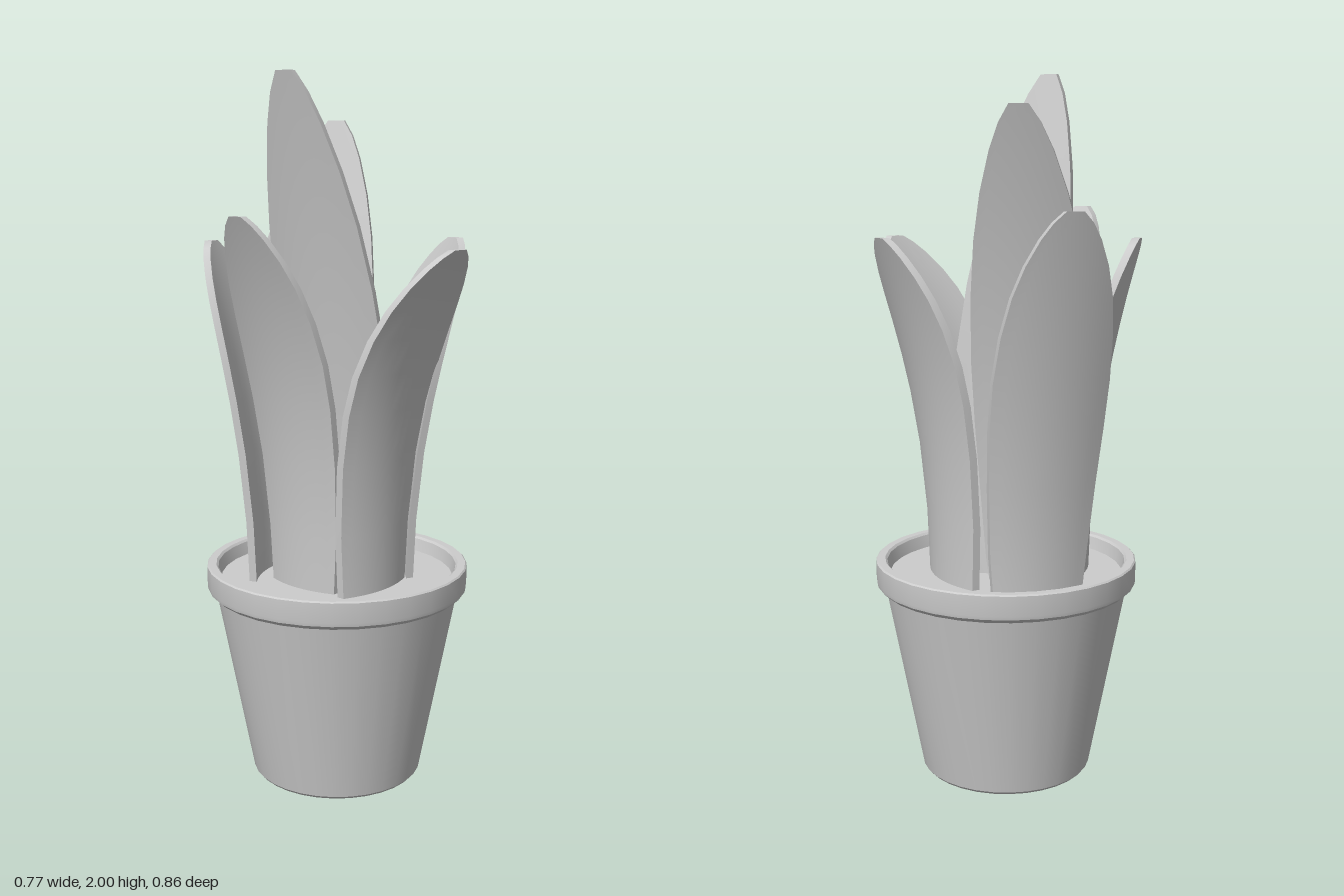
import * as THREE from 'three';
import { toCreasedNormals } from 'three/addons/utils/BufferGeometryUtils.js';

const grey = new THREE.MeshStandardMaterial({ color: 0xcccccc });
grey.name = 'plainGrey';

const POT = { x: 0.005, z: 0.008 };
const BASE_Y = 0.57;

// half width of a leaf along its length: [t, half width]
const OUTLINE = [
  [0, 0.13], [0.2, 0.142], [0.4, 0.154], [0.55, 0.163], [0.66, 0.165], [0.76, 0.156],
  [0.84, 0.138], [0.9, 0.113], [0.95, 0.081], [0.98, 0.053], [1, 0.024],
];

// base and tip are [x, z]; facing is the outward direction of the blade;
// bend shapes the lean; taper above 1 makes the upper blade more pointed
const LEAVES = [
  { name: 'frontLeaf', base: [-0.005, 0.195], tip: [0.05, 0.415], facing: [0.08, 1], top: 1.545, bend: 2.7, width: 1, taper: 1 },
  { name: 'leftLeaf', base: [0.198, 0.065], tip: [0.352, 0.135], facing: [0.94, 0.3], top: 1.555, bend: 2.3, width: 1, taper: 1 },
  { name: 'backLeaf', base: [0.12, -0.225], tip: [0.21, -0.41], facing: [0.5, -0.87], top: 1.63, bend: 1.5, width: 0.98, taper: 1.3 },
  { name: 'tallBackLeaf', base: [0.045, -0.14], tip: [0.265, -0.275], facing: [0.81, -0.58], top: 1.89, bend: 1.7, width: 1, taper: 1.7 },
  { name: 'backRightLeaf', base: [-0.135, -0.165], tip: [-0.205, -0.29], facing: [-0.45, -0.89], top: 1.55, bend: 2, width: 0.82, taper: 1 },
  { name: 'rightLeaf', base: [-0.155, 0.03], tip: [-0.372, 0.04], facing: [-0.98, 0.12], top: 1.63, bend: 2.3, width: 0.87, taper: 1.1 },
  { name: 'tallCentreLeaf', base: [0.05, -0.01], tip: [-0.187, 0.015], facing: [-0.93, 0.36], top: 2, bend: 1.6, width: 0.97, taper: 1.9 },
];

// A cupped blade lofted from curved cross-sections, closed at the tip
function leafGeometry({ base, tip, facing, top, bend, width, taper }) {
  const cols = 10, ring = (cols + 1) * 2, thick = 0.022;
  const f = new THREE.Vector2(...facing).normalize();
  const pos = [], index = [];

  for (const [t, half] of OUTLINE) {
    const rise = Math.pow(t, taper);
    const lean = Math.pow(rise, bend);
    const cup = 1.7 * (1 - 0.5 * rise);
    const cx = base[0] + (tip[0] - base[0]) * lean;
    const cz = base[1] + (tip[1] - base[1]) * lean;
    const y = BASE_Y + (top - BASE_Y) * rise;
    for (let k = 0; k < ring; k++) {
      const outer = k <= cols;
      const u = ((outer ? k : ring - 1 - k) / cols) * 2 - 1;
      const side = u * half * width;
      const depth = (outer ? thick / 2 : -thick / 2) - cup * side * side;
      pos.push(cx + f.y * side + f.x * depth, y, cz - f.x * side + f.y * depth);
    }
  }
  for (let i = 0; i < OUTLINE.length - 1; i++) {
    for (let k = 0; k < ring; k++) {
      const a = i * ring + k, b = i * ring + ((k + 1) % ring);
      index.push(a, b, b + ring, a, b + ring, a + ring);
    }
  }
  // tip cap
  const last = (OUTLINE.length - 1) * ring;
  for (let k = 0; k < cols; k++) {
    const a = last + k, c = last + ring - 1 - k;
    index.push(a, a + 1, c - 1, a, c - 1, c);
  }
  const g = new THREE.BufferGeometry();
  g.setAttribute('position', new THREE.Float32BufferAttribute(pos, 3));
  g.setIndex(index);
  return toCreasedNormals(g, 0.7);
}

function latheMesh(name, profile) {
  const points = profile.map(([r, y]) => new THREE.Vector2(r, y));
  const mesh = new THREE.Mesh(toCreasedNormals(new THREE.LatheGeometry(points, 32), 0.5), grey);
  mesh.name = name;
  mesh.position.set(POT.x, 0, POT.z);
  return mesh;
}

export function createModel() {
  const model = new THREE.Group();
  model.name = 'pottedPlant';

  // Tapered pot with a thick rolled rim
  model.add(latheMesh('pot', [[0, 0], [0.24, 0], [0.247, 0.008], [0.353, 0.56]]));
  model.add(latheMesh('rim', [
    [0.345, 0.55], [0.362, 0.55], [0.375, 0.562], [0.377, 0.572], [0.377, 0.628], [0.373, 0.632],
    [0.351, 0.632], [0.345, 0.626], [0.335, 0.585],
  ]));
  model.add(latheMesh('soil', [[0.339, 0.59], [0, 0.59]]));

  // Rosette of upright leaves
  const leaves = new THREE.Group();
  leaves.name = 'leaves';
  for (const spec of LEAVES) {
    const leaf = new THREE.Mesh(leafGeometry(spec), grey);
    leaf.name = spec.name;
    leaves.add(leaf);
  }
  model.add(leaves);
  return model;
}
